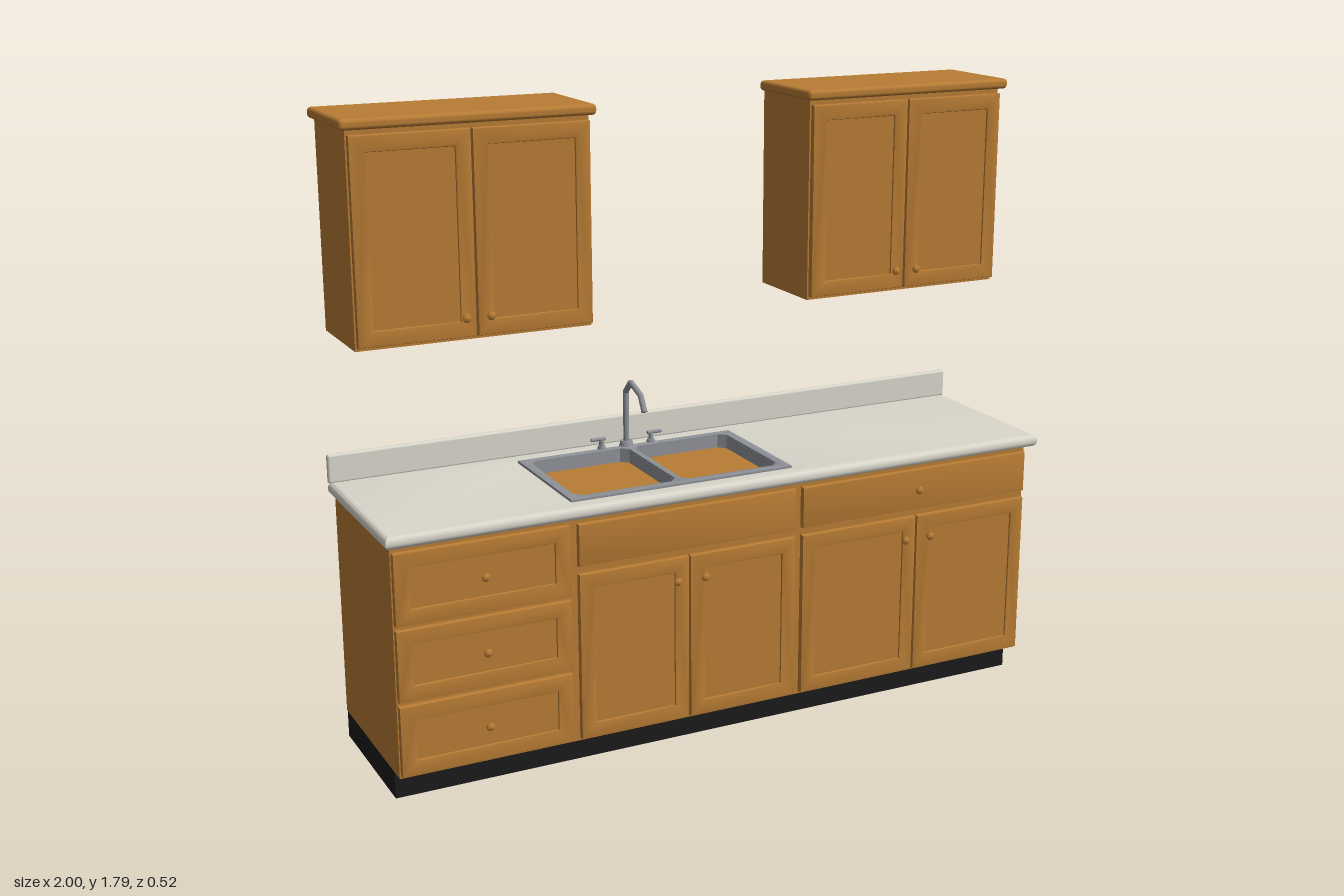
import * as THREE from 'three';
import { toCreasedNormals } from 'three/addons/utils/BufferGeometryUtils.js';
import { RoundedBoxGeometry } from 'three/addons/geometries/RoundedBoxGeometry.js';

const material = (name, color) => Object.assign(new THREE.MeshStandardMaterial({ color }), { name });

export function createModel() {
  const root = new THREE.Group();
  root.name = 'kitchenUnit';
  const wood = material('wood', 0xb87c34);
  const stone = material('counterStone', 0xd9d6cb);
  const steel = material('steel', 0x8f9298);
  const black = material('kickBlack', 0x1b1b1c);

  function add(parent, name, geometry, mat, x = 0, y = 0, z = 0) {
    const mesh = new THREE.Mesh(geometry, mat);
    mesh.name = name;
    mesh.position.set(x, y, z);
    parent.add(mesh);
    return mesh;
  }

  // Box given by its limits, with optional rounded edges
  function block(parent, name, mat, x0, x1, y0, y1, z0, z1, r = 0) {
    const size = [x1 - x0, y1 - y0, z1 - z0];
    const geo = r ? new RoundedBoxGeometry(...size, 3, r) : new THREE.BoxGeometry(...size);
    return add(parent, name, geo, mat, (x0 + x1) / 2, (y0 + y1) / 2, (z0 + z1) / 2);
  }

  // Rectangle outline with chamfered corners
  function rect(x0, x1, y0, y1, c = 0, Type = THREE.Shape) {
    const pts = c
      ? [[x0 + c, y0], [x1 - c, y0], [x1, y0 + c], [x1, y1 - c], [x1 - c, y1], [x0 + c, y1], [x0, y1 - c], [x0, y0 + c]]
      : [[x0, y0], [x1, y0], [x1, y1], [x0, y1]];
    return new Type(pts.map(p => new THREE.Vector2(...p)));
  }

  // Extrusion of exact overall depth with bevelled edges
  function bevelled(shape, depth, b, segments) {
    const geo = new THREE.ExtrudeGeometry(shape, {
      depth: depth - 2 * b, bevelThickness: b, bevelSize: b, bevelOffset: -b, bevelSegments: segments
    });
    geo.translate(0, 0, b);
    return toCreasedNormals(geo, 0.6);
  }

  // Door or drawer front: bevelled slab, optionally with a recessed panel
  function front(parent, name, x0, x1, y0, y1, z, panelled = true) {
    const shape = rect(x0, x1, y0, y1);
    const m = 0.044;
    if (panelled) {
      shape.holes.push(rect(x0 + m, x1 - m, y0 + m, y1 - m, 0, THREE.Path));
      block(parent, name + 'Panel', wood, x0 + m - 0.01, x1 - m + 0.01, y0 + m - 0.01, y1 - m + 0.01, z, z + 0.016);
    }
    add(parent, name, bevelled(shape, 0.021, 0.005, 2), wood, 0, 0, z);
  }

  // Round knob turned around the z axis
  const knobGeo = new THREE.LatheGeometry(
    [[0.005, 0], [0.005, 0.006], [0.011, 0.01], [0.012, 0.014], [0.009, 0.019], [0, 0.021]]
      .map(p => new THREE.Vector2(...p)), 16).rotateX(Math.PI / 2);
  const knob = (parent, x, y, z) => add(parent, 'knob', knobGeo, wood, x, y, z);

  // Base cabinet
  const base = new THREE.Group();
  base.name = 'baseCabinet';
  root.add(base);
  block(base, 'kickBase', black, -0.978, 0.978, 0, 0.08, -0.255, 0.17);
  block(base, 'baseBody', wood, -0.98, 0.98, 0.08, 0.73, -0.255, 0.22);
  for (const y of [0.09, 0.302, 0.514]) {
    front(base, 'drawer', -0.978, -0.49, y, y + 0.2, 0.219);
    knob(base, -0.733, y + 0.1, 0.236);
  }
  for (const [x0, mid, x1] of [[-0.466, -0.137, 0.195], [0.218, 0.597, 0.973]]) {
    front(base, 'topDrawer', x0, x1, 0.592, 0.712, 0.219, false);
    front(base, 'door', x0, mid - 0.002, 0.09, 0.57, 0.219);
    front(base, 'door', mid + 0.002, x1, 0.09, 0.57, 0.219);
    for (const s of [-1, 1]) knob(base, mid + s * 0.042, 0.505, 0.238);
  }
  knob(base, 0.597, 0.652, 0.238);

  // Countertop with the sink cut-out, and backsplash
  const top = rect(-1, 1, -0.258, 0.25);
  top.holes.push(rect(-0.46, 0.185, -0.195, 0.165, 0, THREE.Path));
  const counter = bevelled(top, 0.036, 0.015, 4).rotateX(-Math.PI / 2);
  add(root, 'countertop', counter, stone, 0, 0.73, 0);
  block(root, 'backsplash', stone, -1, 1, 0.762, 0.845, -0.258, -0.239, 0.007);

  // Sink: rim, bowl walls and divider in one pierced plate
  const sink = new THREE.Group();
  sink.name = 'sink';
  root.add(sink);
  const rim = rect(-0.472, 0.198, -0.205, 0.178);
  const bowls = [[-0.446, -0.145], [-0.127, 0.17]];
  for (const [x0, x1] of bowls) rim.holes.push(rect(x0, x1, -0.18, 0.157, 0.02, THREE.Path));
  add(sink, 'sinkRim', bevelled(rim, 0.01, 0.003, 2).rotateX(-Math.PI / 2), steel, 0, 0.763, 0);
  const walls = rect(-0.459, 0.184, -0.194, 0.164);
  for (const [x0, x1] of bowls) walls.holes.push(rect(x0, x1, -0.18, 0.157, 0.02, THREE.Path));
  const wallGeo = new THREE.ExtrudeGeometry(walls, { depth: 0.034, bevelEnabled: false });
  add(sink, 'bowlWalls', wallGeo.rotateX(-Math.PI / 2), steel, 0, 0.731, 0);

  // Faucet with angular spout and two lever taps
  const faucet = new THREE.Group();
  faucet.name = 'faucet';
  faucet.position.set(-0.137, 0.77, -0.174);
  root.add(faucet);
  add(faucet, 'spoutBase', new THREE.CylinderGeometry(0.017, 0.022, 0.018, 20), steel, 0, 0.009, 0);
  const bends = [[0, 0], [0.164, 0], [0.2, 0.034], [0.178, 0.1], [0.137, 0.124]]
    .map(([y, z]) => new THREE.Vector3(0, y, z));
  const spout = new THREE.CurvePath();
  for (let i = 1; i < bends.length; i++) spout.add(new THREE.LineCurve3(bends[i - 1], bends[i]));
  add(faucet, 'spout', new THREE.TubeGeometry(spout, 80, 0.0085, 12), steel);
  add(faucet, 'spoutTip', new THREE.CylinderGeometry(0.009, 0.009, 0.006, 12), steel, 0, 0.137, 0.124)
    .rotation.x = -0.53;
  for (const s of [-1, 1]) {
    add(faucet, 'tapBase', new THREE.CylinderGeometry(0.011, 0.013, 0.012, 16), steel, s * 0.078, 0.006, 0);
    add(faucet, 'tapStem', new THREE.CylinderGeometry(0.007, 0.007, 0.03, 12), steel, s * 0.078, 0.018, 0);
    add(faucet, 'tapLever', new THREE.CylinderGeometry(0.005, 0.005, 0.044, 10).rotateZ(Math.PI / 2), steel,
      s * 0.089, 0.032, 0);
  }

  // Pair of wall cabinets
  for (const [x0, x1, t0, t1] of [[-0.98, -0.32, -1, -0.304], [0.35, 0.98, 0.334, 1]]) {
    const cabinet = new THREE.Group();
    cabinet.name = 'wallCabinet';
    root.add(cabinet);
    const mid = (x0 + x1) / 2 - 0.002;
    block(cabinet, 'wallBody', wood, x0, x1, 1.19, 1.762, -0.255, 0.01);
    block(cabinet, 'wallTop', wood, t0, t1, 1.758, 1.787, -0.257, 0.034, 0.011);
    front(cabinet, 'wallDoor', x0 + 0.003, mid - 0.002, 1.2, 1.745, 0.009);
    front(cabinet, 'wallDoor', mid + 0.002, x1 - 0.003, 1.2, 1.745, 0.009);
    for (const s of [-1, 1]) knob(cabinet, mid + s * 0.034, 1.254, 0.028);
  }
  return root;
}
